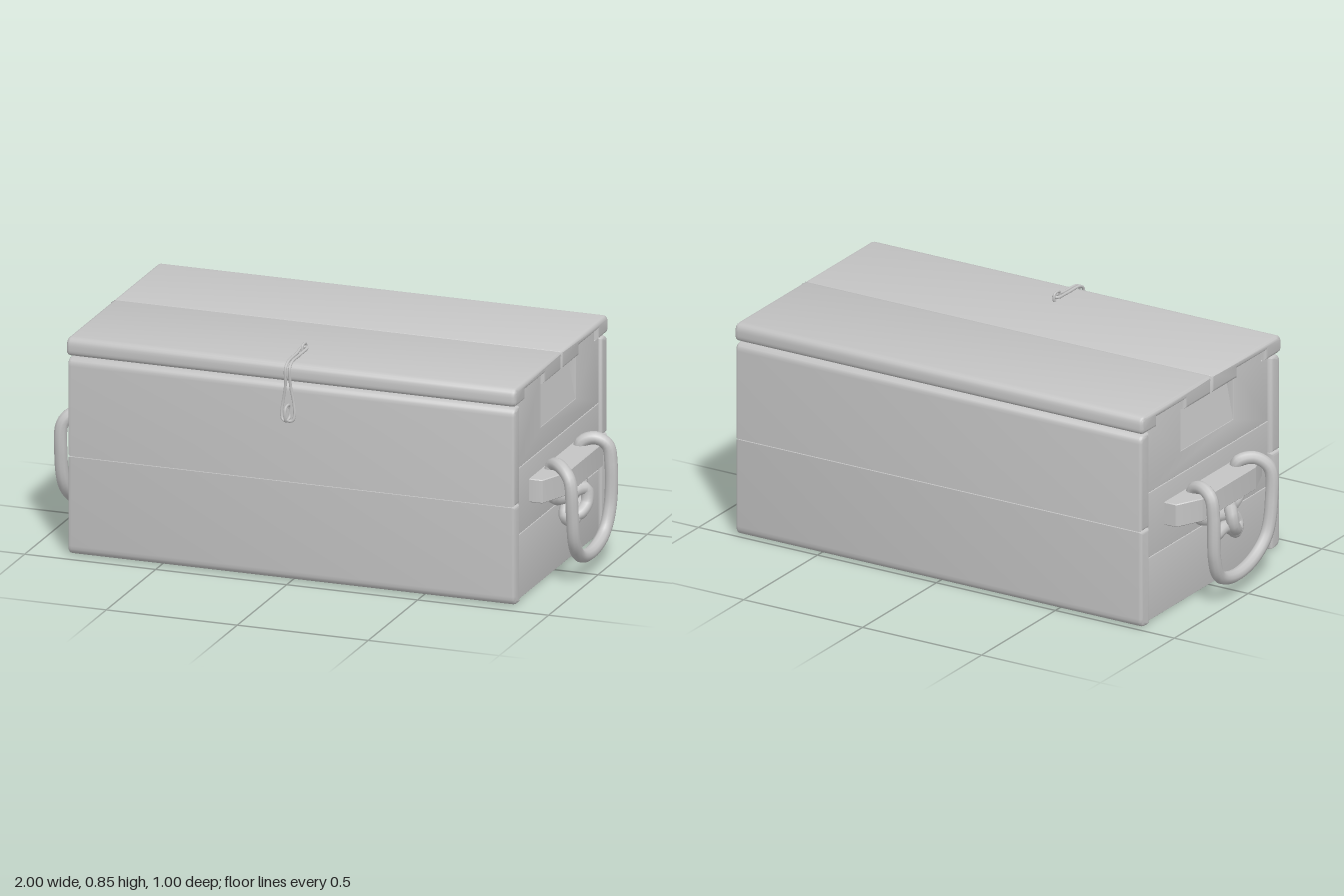
import * as THREE from 'three';
import { toCreasedNormals } from 'three/addons/utils/BufferGeometryUtils.js';

const grey = new THREE.MeshStandardMaterial({ color: 0xc4c4c4 });
grey.name = 'plain grey';

function add(parent, name, geometry) {
  const mesh = new THREE.Mesh(geometry, grey);
  mesh.name = name;
  parent.add(mesh);
  return mesh;
}

// Outline whose points are [a, b, cornerRadius]
function outline(points) {
  const shape = new THREE.Shape();
  const n = points.length;
  points.forEach(([a, b, r = 0], i) => {
    const p = new THREE.Vector2(a, b);
    const toward = (q) => new THREE.Vector2(q[0], q[1]).sub(p).normalize().multiplyScalar(r).add(p);
    const start = toward(points[(i + n - 1) % n]);
    const end = toward(points[(i + 1) % n]);
    if (i === 0) shape.moveTo(start.x, start.y);
    else shape.lineTo(start.x, start.y);
    if (r > 0) shape.quadraticCurveTo(a, b, end.x, end.y);
  });
  shape.closePath();
  return shape;
}

// Board with a (z, y) section running from x0 to x1, with softened ends
function boardAlongX(points, x0, x1, bevel) {
  const geo = new THREE.ExtrudeGeometry(outline(points), {
    depth: x1 - x0 - 2 * bevel, curveSegments: 5, bevelEnabled: bevel > 0,
    bevelSize: bevel, bevelThickness: bevel, bevelOffset: -bevel, bevelSegments: 3,
  });
  geo.rotateY(-Math.PI / 2);
  geo.translate(x1 - bevel, 0, 0);
  return toCreasedNormals(geo, 0.7);
}

function tube(points, radius, closed, segments, sides) {
  const curve = new THREE.CatmullRomCurve3(points.map((p) => new THREE.Vector3(...p)), closed);
  return new THREE.TubeGeometry(curve, segments, radius, sides, closed);
}

function buildWalls(group) {
  // Front and back walls: two boards each, rounded on the outer edges
  const walls = [['front', 0.395, 0.453], ['back', -0.432, -0.491]];
  for (const [name, inner, outer] of walls) {
    add(group, name + 'LowerBoard', boardAlongX(
      [[inner, 0.004, 0.006], [outer, 0.004, 0.035], [outer, 0.3735], [inner, 0.3735]], -0.855, 0.852, 0.012));
    add(group, name + 'UpperBoard', boardAlongX(
      [[inner, 0.3765], [outer, 0.3765], [outer, 0.743, 0.03], [inner, 0.743, 0.006]], -0.855, 0.852, 0.012));
    // Backing that closes the seam
    const backing = add(group, name + 'SeamBacking', new THREE.BoxGeometry(1.66, 0.7, 0.045));
    backing.position.set(0, 0.375, (inner + outer) / 2);
  }
  const floor = add(group, 'floor', new THREE.BoxGeometry(1.67, 0.03, 0.827));
  floor.position.set(0, 0.026, -0.0185);
}

function buildLid(group) {
  // Each lid board is grooved underneath to take the end panel tabs
  add(group, 'lidFrontBoard', boardAlongX(
    [[0.455, 0.75, 0.022], [0.455, 0.818, 0.03], [-0.0185, 0.818, 0.004], [-0.0185, 0.75],
      [0.158, 0.75], [0.158, 0.787], [0.347, 0.787], [0.347, 0.75]], -0.86, 0.855, 0.014));
  add(group, 'lidBackBoard', boardAlongX(
    [[-0.0215, 0.75], [-0.0215, 0.818, 0.004], [-0.493, 0.818, 0.03], [-0.493, 0.75, 0.022],
      [-0.387, 0.75], [-0.387, 0.787], [-0.2, 0.787], [-0.2, 0.75]], -0.86, 0.855, 0.014));
}

function buildEnd(group, side, name) {
  const end = new THREE.Group();
  end.name = name;
  group.add(end);
  const [x0, x1] = side > 0 ? [0.78, 0.84] : [-0.84, -0.78];

  // End boards; the top one has two tabs and a finger notch
  const boards = [[0.008, 0.249], [0.251, 0.499]];
  for (const [y0, y1] of boards) {
    add(end, 'endBoard', boardAlongX([[0.391, y0], [0.391, y1], [-0.43, y1], [-0.43, y0]], x0, x1, 0.002));
  }
  add(end, 'endTopBoard', boardAlongX(
    [[0.391, 0.501], [0.391, 0.746], [0.346, 0.746], [0.346, 0.785], [0.158, 0.785], [0.158, 0.587],
      [-0.198, 0.587], [-0.198, 0.785], [-0.386, 0.785], [-0.386, 0.746], [-0.43, 0.746], [-0.43, 0.501]],
    x0, x1, 0.002));
  const slope = new THREE.ExtrudeGeometry(
    outline([[0.77 * side, 0.585], [0.839 * side, 0.585], [0.805 * side, 0.76], [0.77 * side, 0.76]]),
    { depth: 0.358, bevelEnabled: false });
  slope.translate(0, 0, -0.199);
  add(end, 'fingerNotchSlope', slope);

  // Grip batten with tapered ends
  const batten = new THREE.ExtrudeGeometry(
    outline([[0.83, 0.31], [0.89, 0.31, 0.004], [0.94, 0.21, 0.008], [0.94, -0.15, 0.008],
      [0.89, -0.273, 0.004], [0.83, -0.273]].map(([x, y, r]) => [x * side, y, r])),
    { depth: 0.082, bevelEnabled: true, bevelSize: 0.003, bevelThickness: 0.003, bevelOffset: -0.003, bevelSegments: 1 });
  batten.rotateX(-Math.PI / 2);
  batten.translate(0, 0.344, 0);
  add(end, 'handleBatten', toCreasedNormals(batten, 0.6));

  // Rope handle: tail, knot, behind the batten, round the loop and back to the knot
  const path = [
    [0.92, 0.243, -0.095], [0.925, 0.258, -0.04], [0.925, 0.235, 0.01], [0.92, 0.212, 0.045],
    [0.905, 0.235, 0.078], [0.9, 0.272, 0.05], [0.895, 0.295, -0.05], [0.885, 0.318, -0.14],
    [0.87, 0.38, -0.165], [0.872, 0.435, -0.165], [0.918, 0.455, -0.18], [0.963, 0.43, -0.193],
    [0.976, 0.36, -0.196], [0.975, 0.2, -0.188], [0.968, 0.115, -0.145], [0.963, 0.077, -0.035],
    [0.965, 0.1, 0.09], [0.973, 0.17, 0.168], [0.976, 0.29, 0.197], [0.966, 0.415, 0.199],
    [0.92, 0.453, 0.17], [0.874, 0.44, 0.13], [0.868, 0.38, 0.14], [0.88, 0.322, 0.13],
    [0.895, 0.302, 0.06], [0.925, 0.318, 0], [0.945, 0.315, -0.025], [0.95, 0.265, -0.02],
    [0.935, 0.232, 0.02], [0.905, 0.225, 0.04],
  ].map(([x, y, z]) => [x * side, y, z]);
  add(end, 'ropeHandle', tube(path, 0.024, false, 160, 10));
  for (const tip of [path[0], path[path.length - 1]]) {
    const cap = add(end, 'ropeTip', new THREE.SphereGeometry(0.0235, 10, 6));
    cap.position.set(...tip);
    cap.scale.setScalar(0.95);
  }
}

function buildLatch(group) {
  const latch = new THREE.Group();
  latch.name = 'latch';
  latch.position.x = -0.007;
  group.add(latch);

  // Bent wire loop, a narrow neck over the lid and a teardrop in front
  const half = [
    [0.008, 0.833, 0.295], [0.008, 0.828, 0.36], [0.007, 0.823, 0.45], [0.008, 0.807, 0.472],
    [0.01, 0.74, 0.468], [0.02, 0.68, 0.464], [0.025, 0.635, 0.467], [0.018, 0.612, 0.47],
  ];
  const other = half.map(([x, y, z]) => [-x, y, z]).reverse();
  add(latch, 'wireHook', tube([...half, ...other], 0.0055, true, 120, 8));

  // Staples that hold the wire
  const staples = [['lidStaple', 0.832, 0.305, 0.017, 0.013], ['wallStaple', 0.64, 0.474, 0.02, 0.023]];
  for (const [name, y, z, w, h] of staples) {
    const ring = [[-w, -h], [w, -h], [w, h], [-w, h]].map(([dz, dy]) => [0, y + dy, z + dz]);
    add(latch, name, tube(ring, 0.005, true, 32, 8));
  }
}

export function createModel() {
  const model = new THREE.Group();
  model.name = 'chest';
  buildWalls(model);
  buildLid(model);
  buildEnd(model, 1, 'leftEnd');
  buildEnd(model, -1, 'rightEnd');
  buildLatch(model);
  return model;
}
